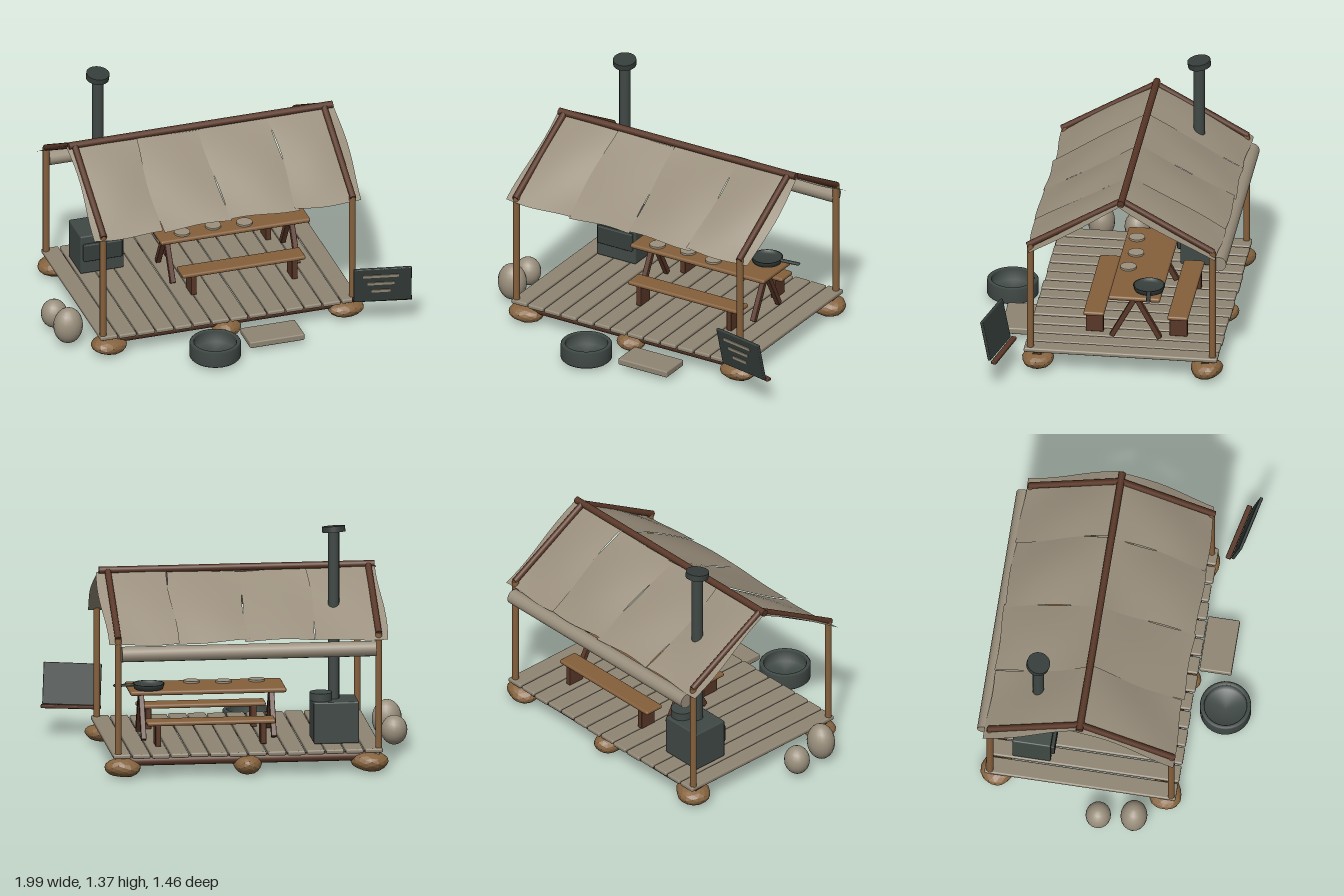
import * as THREE from 'three';
import { RoundedBoxGeometry } from 'three/addons/geometries/RoundedBoxGeometry.js';

const mat = (name, color, side = THREE.FrontSide) => {
  const m = new THREE.MeshStandardMaterial({ color, side });
  m.name = name;
  return m;
};

export function createModel() {
  const canvas = mat('canvas', 0x9a8f7d, THREE.DoubleSide);
  const deckWood = mat('weathered wood', 0x8f8573);
  const wood = mat('warm wood', 0x85603c);
  const darkWood = mat('dark wood', 0x593727);
  const stone = mat('stone', 0x86643f);
  const iron = mat('iron', 0x404945);
  const darkIron = mat('dark iron', 0x363e3b);
  const pale = mat('pale paint', 0x9c917c);

  const root = new THREE.Group();
  root.name = 'campShelter';
  const V = (x, y, z) => new THREE.Vector3(x, y, z);

  let seed = 7;
  const rand = () => {
    seed = (seed * 16807) % 2147483647;
    return seed / 2147483647;
  };
  const jitter = (a) => (rand() - 0.5) * 2 * a;

  const add = (name, geo, material, x = 0, y = 0, z = 0, parent = root) => {
    const m = new THREE.Mesh(geo, material);
    m.name = name;
    m.position.set(x, y, z);
    parent.add(m);
    return m;
  };
  const box = (name, w, h, d, material, x, y, z, r = 0.006, parent = root) =>
    add(name, new RoundedBoxGeometry(w, h, d, 2, r), material, x, y, z, parent);
  const disc = (name, r, h, material, x, y, z, parent = root) =>
    add(name, new THREE.CylinderGeometry(r, r, h, 28), material, x, y, z, parent);
  // Round pole between two points
  const pole = (name, a, b, r, material) => {
    const dir = b.clone().sub(a);
    const m = add(name, new THREE.CylinderGeometry(r, r, dir.length(), 12), material);
    m.position.copy(a).add(b).multiplyScalar(0.5);
    m.quaternion.setFromUnitVectors(V(0, 1, 0), dir.normalize());
    return m;
  };

  // Foundation stones and beams
  const rock = (x, z, rx, ry, rz, phase) => {
    const geo = new THREE.IcosahedronGeometry(1, 2);
    const p = geo.attributes.position;
    for (let i = 0; i < p.count; i++) {
      const v = V().fromBufferAttribute(p, i);
      const k = 0.96 + 0.07 * Math.sin(3 * v.x + phase) * Math.cos(3 * v.z + 2 * v.y + phase);
      p.setXYZ(i, v.x * rx * k, v.y * ry * k, v.z * rz * k);
    }
    geo.computeVertexNormals();
    add('foundationStone', geo, stone, x, 0.062, z);
  };
  for (const z of [0.33, -0.617]) {
    [-0.72, -0.035, 0.665].forEach((x, i) => rock(x, z, i === 1 ? 0.085 : 0.108, z > 0 ? 0.052 : 0.058, 0.095, i * 2 + z));
    pole('floorBeam', V(-0.77, 0.095, z), V(0.71, 0.095, z), 0.027, darkWood);
  }

  // Deck planks
  const planks = 14, pitch = 1.52 / planks;
  for (let i = 0; i < planks; i++) {
    box('deckPlank', pitch - 0.009, 0.026, 1.085 + jitter(0.008), deckWood,
      -0.79 + pitch * (i + 0.5), 0.132 + jitter(0.002), -0.143 + jitter(0.004), 0.009);
  }

  // Posts, rafters and ridge pole
  const ridge = { y: 1.085, z: -0.145 };
  for (const x of [-0.765, 0.695]) {
    pole('frontPost', V(x, 0.14, 0.368), V(x, 0.785, 0.368), 0.019, wood);
    pole('backPost', V(x, 0.14, -0.654), V(x, 0.80, -0.654), 0.019, wood);
    pole('frontRafter', V(x, 0.775, 0.383), V(x, ridge.y, ridge.z), 0.018, darkWood);
    pole('backRafter', V(x, 0.797, -0.66), V(x, ridge.y, ridge.z), 0.018, darkWood);
  }
  pole('ridgePole', V(-0.8, ridge.y, ridge.z), V(0.745, ridge.y, ridge.z), 0.02, darkWood);

  // Canvas roof panels, gently billowing and overlapping at the seams
  const canvasPanel = (x0, x1, eaveY, eaveZ, phase) => {
    const geo = new THREE.PlaneGeometry(1, 1, 10, 10);
    const p = geo.attributes.position;
    const n = V(0, Math.abs(eaveZ - ridge.z), Math.sign(eaveZ - ridge.z) * (ridge.y - eaveY)).normalize();
    for (let i = 0; i < p.count; i++) {
      const u = p.getX(i) + 0.5, v = p.getY(i) + 0.5;
      const lift = -0.014 + 0.016 * Math.sin(Math.PI * u) * Math.sin(Math.PI * v)
        + 0.009 * Math.sin(2.5 * u + 3 * v + phase) + 0.006 * (0.5 - u);
      const x = x0 + (x1 - x0) * u + 0.011 * Math.sin(5 * v + phase);
      const t = v + 0.012 * v * Math.sin(5 * u + phase);
      p.setXYZ(i, x, ridge.y + (eaveY - ridge.y) * t + n.y * lift,
        ridge.z + (eaveZ - ridge.z) * t + n.z * lift);
    }
    geo.computeVertexNormals();
    add('canvasPanel', geo, canvas);
  };
  const seams = [-0.805, -0.41, -0.03, 0.37, 0.75];
  for (let i = 0; i < 4; i++) {
    canvasPanel(seams[i] - 0.006, seams[i + 1] + 0.006, 0.768, 0.392, i * 1.9);
    canvasPanel(seams[i] - 0.006, seams[i + 1] + 0.006, 0.785, -0.69, i * 1.9 + 1);
  }
  pole('rolledCanvas', V(-0.745, 0.717, -0.686), V(0.68, 0.717, -0.686), 0.044, canvas);

  // Stove with door, kettle pot and chimney
  box('stoveBody', 0.255, 0.235, 0.215, iron, -0.542, 0.267, -0.435, 0.008);
  box('stoveDoor', 0.225, 0.105, 0.024, darkIron, -0.542, 0.285, -0.319);
  disc('stovePot', 0.063, 0.045, iron, -0.463, 0.407, -0.46);
  pole('chimney', V(-0.54, 0.38, -0.417), V(-0.54, 1.34, -0.417), 0.032, iron);
  const cap = disc('chimneyCap', 0.065, 0.034, darkIron, -0.54, 1.345, -0.417);
  cap.rotation.set(0.15, 0, -0.06);

  // Table on crossed legs
  box('tableTop', 0.875, 0.026, 0.29, wood, 0.152, 0.418, -0.2, 0.011);
  for (const x of [-0.215, 0.515]) {
    for (const s of [-1, 1]) {
      const leg = box('tableLeg', 0.03, 0.285, 0.03, darkWood, x, 0.279, -0.2 + s * 0.067, 0.004);
      leg.rotation.x = -s * 0.5;
    }
  }

  // Benches
  for (const z of [0.038, -0.433]) {
    box('benchSeat', 0.72, 0.024, 0.116, wood, 0.152, 0.273, z, 0.01);
    for (const x of [-0.14, 0.45]) box('benchLeg', 0.032, 0.118, 0.1, darkWood, x, 0.204, z, 0.004);
  }

  // Plates and frying pan
  for (const [x, z] of [[-0.143, -0.12], [0.045, -0.14], [0.222, -0.12]]) {
    disc('plate', 0.045, 0.012, pale, x, 0.436, z);
  }
  const panProfile = [[0, 0], [0.08, 0], [0.09, 0.03], [0.082, 0.03], [0.074, 0.01], [0, 0.01]];
  add('fryingPan', new THREE.LatheGeometry(panProfile.map(([r, y]) => new THREE.Vector2(r, y)), 28),
    darkIron, 0.48, 0.432, -0.27);
  box('panHandle', 0.12, 0.014, 0.024, darkIron, 0.62, 0.457, -0.285).rotation.y = 0.1;

  // Wash tub
  const tubProfile = [[0, 0], [0.135, 0], [0.143, 0.008], [0.143, 0.092], [0.137, 0.098],
    [0.122, 0.098], [0.118, 0.092], [0.118, 0.025], [0, 0.025]];
  add('washTub', new THREE.LatheGeometry(tubProfile.map(([r, y]) => new THREE.Vector2(r, y)), 32),
    iron, -0.178, 0.024, 0.582);

  // Front step
  box('frontStep', 0.32, 0.038, 0.18, deckWood, 0.187, 0.054, 0.492, 0.008);

  // Sacks beside the deck
  const sack = (x, y, z, rx, ry, rz) =>
    add('sack', new THREE.SphereGeometry(1, 18, 12), canvas, x, y, z).scale.set(rx, ry, rz);
  sack(-0.908, 0.135, 0.18, 0.084, 0.107, 0.075);
  sack(-0.926, 0.11, -0.018, 0.074, 0.083, 0.071);

  // Leaning menu board with blank painted strips
  const sign = new THREE.Group();
  sign.name = 'menuBoard';
  sign.position.set(0.823, 0.175, 0.512);
  sign.rotation.y = -0.22;
  root.add(sign);
  box('boardLedge', 0.335, 0.02, 0.03, darkWood, 0, 0, -0.012, 0.005, sign);
  const board = new THREE.Group();
  board.name = 'board';
  board.position.set(0, 0.005, 0.014);
  board.rotation.set(0.21, 0, 0.015);
  sign.add(board);
  box('boardPanel', 0.325, 0.235, 0.018, darkIron, 0, 0.117, 0, 0.005, board);
  [[0.2, 0.185], [0.15, 0.132], [0.105, 0.078]].forEach(([w, y]) =>
    add('boardStrip', new THREE.BoxGeometry(w, 0.018, 0.005), pale, -0.01, y, 0.0105, board));

  return root;
}
